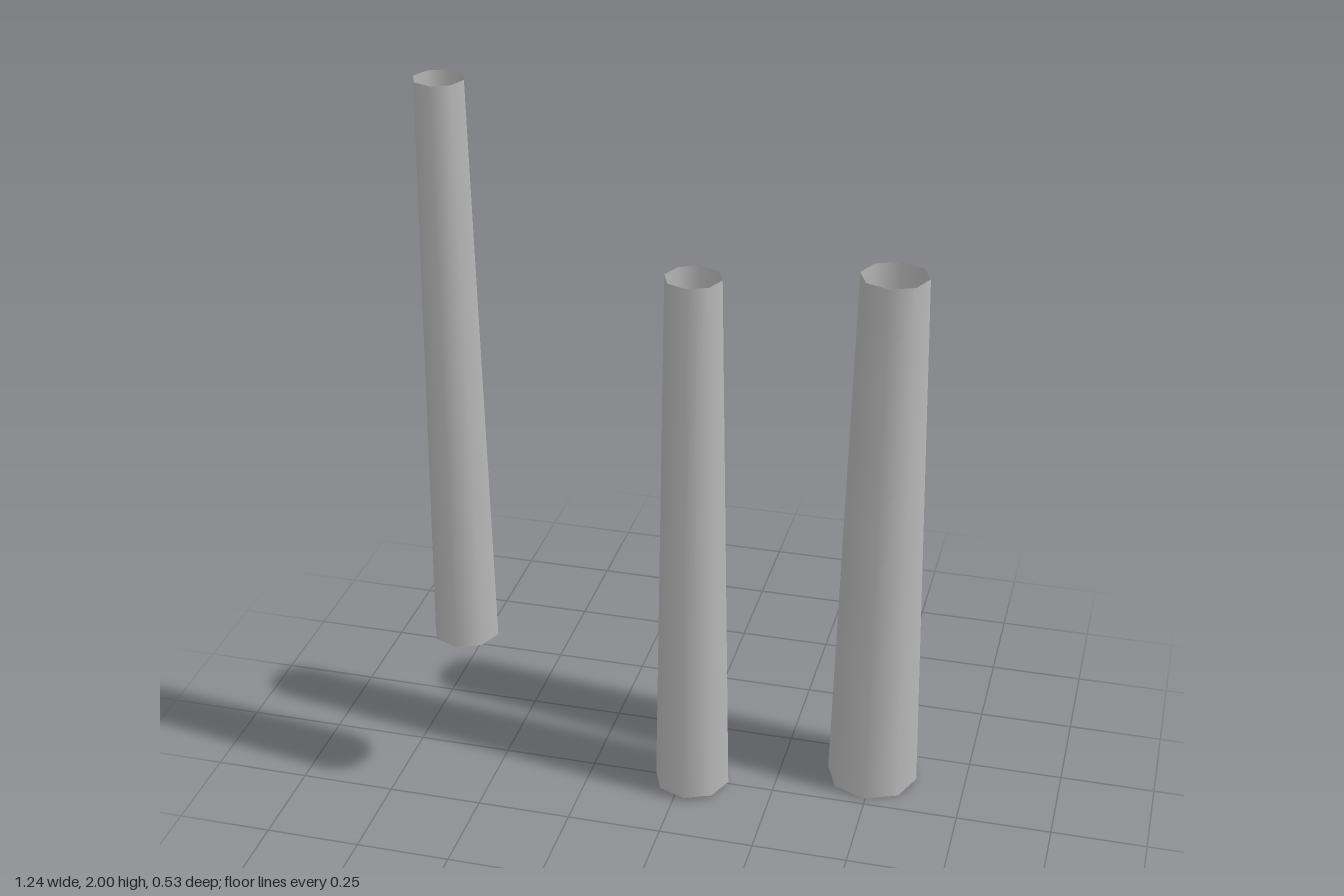
import * as THREE from 'three';

// Three open, tapering eight-sided tubes standing apart on a diagonal
export function createModel() {
  const group = new THREE.Group();
  const grey = new THREE.MeshStandardMaterial({ color: 0xb8b8b8, side: THREE.DoubleSide });
  grey.name = 'grey';

  const addTube = (name, x, z, bottom, top, bottomRadius, topRadius) => {
    const height = top - bottom;
    const tube = new THREE.Mesh(
      new THREE.CylinderGeometry(topRadius, bottomRadius, height, 8, 1, true), grey);
    tube.name = name;
    tube.position.set(x, bottom + height / 2, z);
    group.add(tube);
  };

  addTube('raisedTube', -0.535, 0.18, 0.5, 2, 0.086, 0.062);
  addTube('middleTube', 0.028, 0.006, 0.01, 1.487, 0.101, 0.073);
  addTube('wideTube', 0.497, -0.146, 0, 1.478, 0.122, 0.087);

  return group;
}
